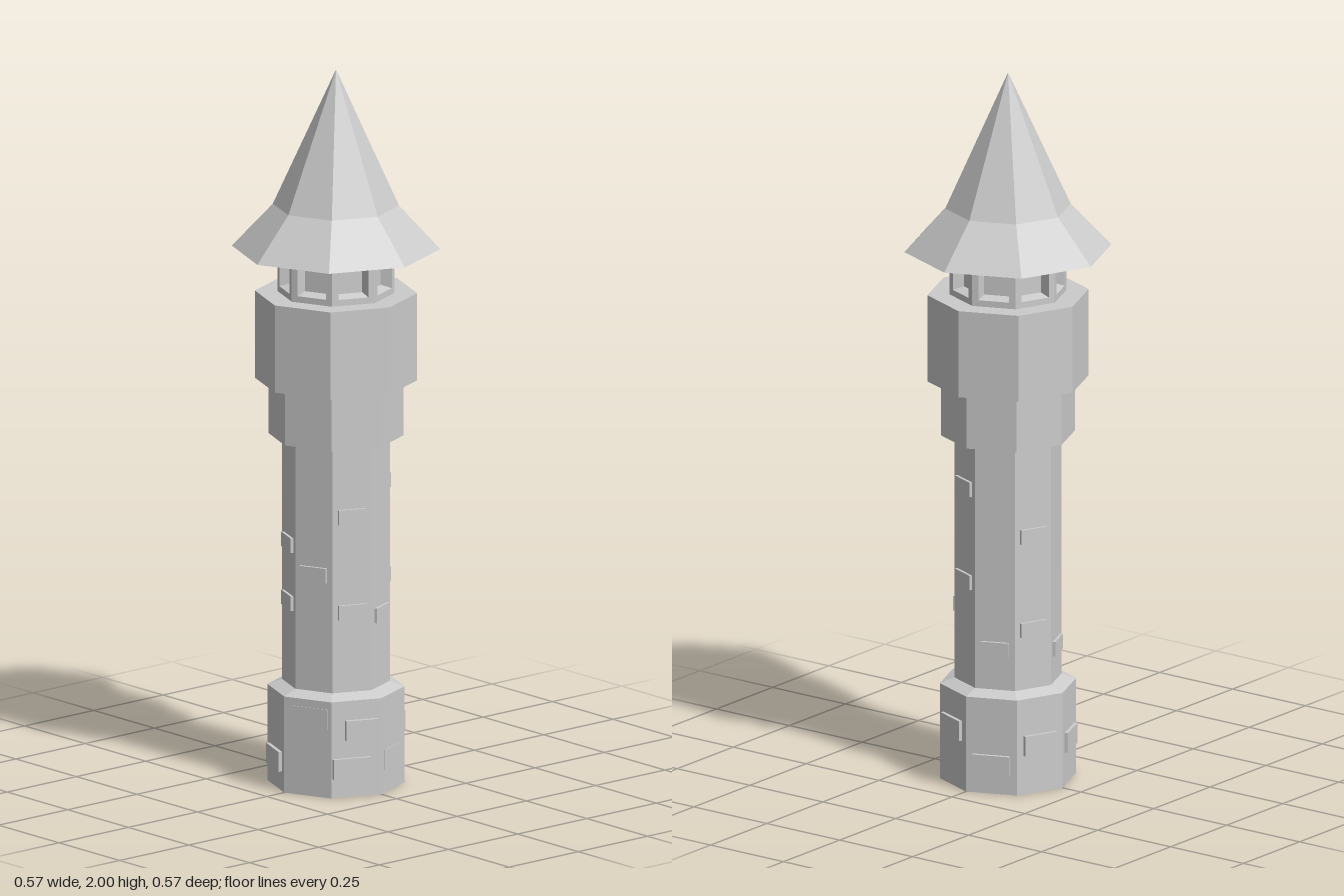
import * as THREE from 'three';

const material = new THREE.MeshStandardMaterial({ color: 0xcccccc, flatShading: true });
const openMaterial = new THREE.MeshStandardMaterial({ color: 0xcccccc, flatShading: true, side: THREE.DoubleSide });
const SIDES = 8;
const APOTHEM = Math.cos(Math.PI / SIDES);
// Direction of each wall, turning from +z towards +x
const wallAngle = (i) => (i + 0.5) * Math.PI * 2 / SIDES;

function addMesh(parent, name, geometry, mat = material) {
  const mesh = new THREE.Mesh(geometry, mat);
  mesh.name = name;
  parent.add(mesh);
  return mesh;
}

// Eight-sided solid from a [radius, height] profile, listed bottom to top
function octagon(parent, name, profile) {
  const points = profile.map(([r, y]) => new THREE.Vector2(r, y));
  const geometry = new THREE.LatheGeometry(points, SIDES).toNonIndexed();
  geometry.computeVertexNormals();
  return addMesh(parent, name, geometry);
}

// Stone block on wall i, moved sideways by shift and standing out by relief
function brick(parent, name, i, radius, y, w, h, relief, shift = 0) {
  const depth = 0.03;
  const geometry = new THREE.BoxGeometry(w, h, depth);
  geometry.translate(shift, y, radius * APOTHEM + relief - depth / 2);
  addMesh(parent, name, geometry).rotation.y = wallAngle(i);
}

// One lantern wall: a frame around a tapered, recessed window
function lanternWall(radius, y0, y1) {
  const wall = new THREE.Group();
  wall.name = 'lanternWall';
  const half = radius * Math.sin(Math.PI / SIDES);
  const front = radius * APOTHEM;
  const w = 0.043, h = 0.045, depth = 0.03, taper = 0.82;
  const mid = (y0 + y1) / 2;

  const shape = new THREE.Shape([
    new THREE.Vector2(-half, y0), new THREE.Vector2(half, y0),
    new THREE.Vector2(half, y1), new THREE.Vector2(-half, y1)]);
  shape.holes.push(new THREE.Path([
    new THREE.Vector2(-w, mid - h), new THREE.Vector2(-w, mid + h),
    new THREE.Vector2(w, mid + h), new THREE.Vector2(w, mid - h)]));
  addMesh(wall, 'windowFrame', new THREE.ShapeGeometry(shape), openMaterial).position.z = front;

  const reveal = new THREE.CylinderGeometry(Math.SQRT2, Math.SQRT2 * taper, depth, 4, 1, true);
  reveal.rotateY(Math.PI / 4).rotateX(Math.PI / 2).scale(w, h, 1);
  addMesh(wall, 'windowReveal', reveal, openMaterial).position.set(0, mid, front - depth / 2);

  addMesh(wall, 'windowPane', new THREE.PlaneGeometry(2 * w * taper, 2 * h * taper), openMaterial)
    .position.set(0, mid, front - depth);
  return wall;
}

export function createModel() {
  const tower = new THREE.Group();
  tower.name = 'tower';

  // Stacked masonry
  octagon(tower, 'base', [[0, 0], [0.187, 0], [0.187, 0.27], [0.147, 0.285], [0, 0.285]]);
  octagon(tower, 'shaft', [[0.147, 0.28], [0.147, 0.98]]);
  octagon(tower, 'collar', [[0, 0.975], [0.184, 0.975], [0.184, 1.13], [0, 1.13]]);
  octagon(tower, 'gallery', [[0, 1.13], [0.221, 1.13], [0.221, 1.375], [0, 1.375]]);

  // Lantern room
  const lantern = new THREE.Group();
  lantern.name = 'lantern';
  for (let i = 0; i < SIDES; i++) {
    const wall = lanternWall(0.16, 1.375, 1.5);
    wall.rotation.y = wallAngle(i);
    lantern.add(wall);
  }
  tower.add(lantern);

  // Flared spire
  octagon(tower, 'roof', [[0, 1.5], [0.284, 1.5], [0.172, 1.62], [0, 2]]);

  // Shaft stones: [wall, height]
  const stones = new THREE.Group();
  stones.name = 'stones';
  const shaftStones = [
    [0, 0.614], [1, 0.778], [1, 0.51], [2, 0.49], [3, 0.845], [3, 0.58],
    [4, 0.4], [5, 0.72], [5, 0.455], [6, 0.382], [7, 0.683], [7, 0.52]];
  for (const [i, y] of shaftStones) brick(stones, 'shaftStone', i, 0.147, y, 0.08, 0.041, 0.008);

  // Base stones: [wall, height, width, relief, shift]
  const baseStones = [
    [0, 0.22, 0.105, 0.002, 0.008], [1, 0.188, 0.092, 0.012, 0.014], [1, 0.082, 0.108, 0.01, -0.014],
    [2, 0.092, 0.105, 0.002, 0], [3, 0.167, 0.1, 0.01, 0], [4, 0.082, 0.105, 0.01, 0],
    [5, 0.138, 0.1, 0.01, 0], [6, 0.122, 0.1, 0.01, 0], [7, 0.082, 0.103, 0.01, 0]];
  for (const [i, y, w, relief, shift] of baseStones) {
    brick(stones, 'baseStone', i, 0.187, y, w, 0.056, relief, shift);
  }
  tower.add(stones);
  return tower;
}
